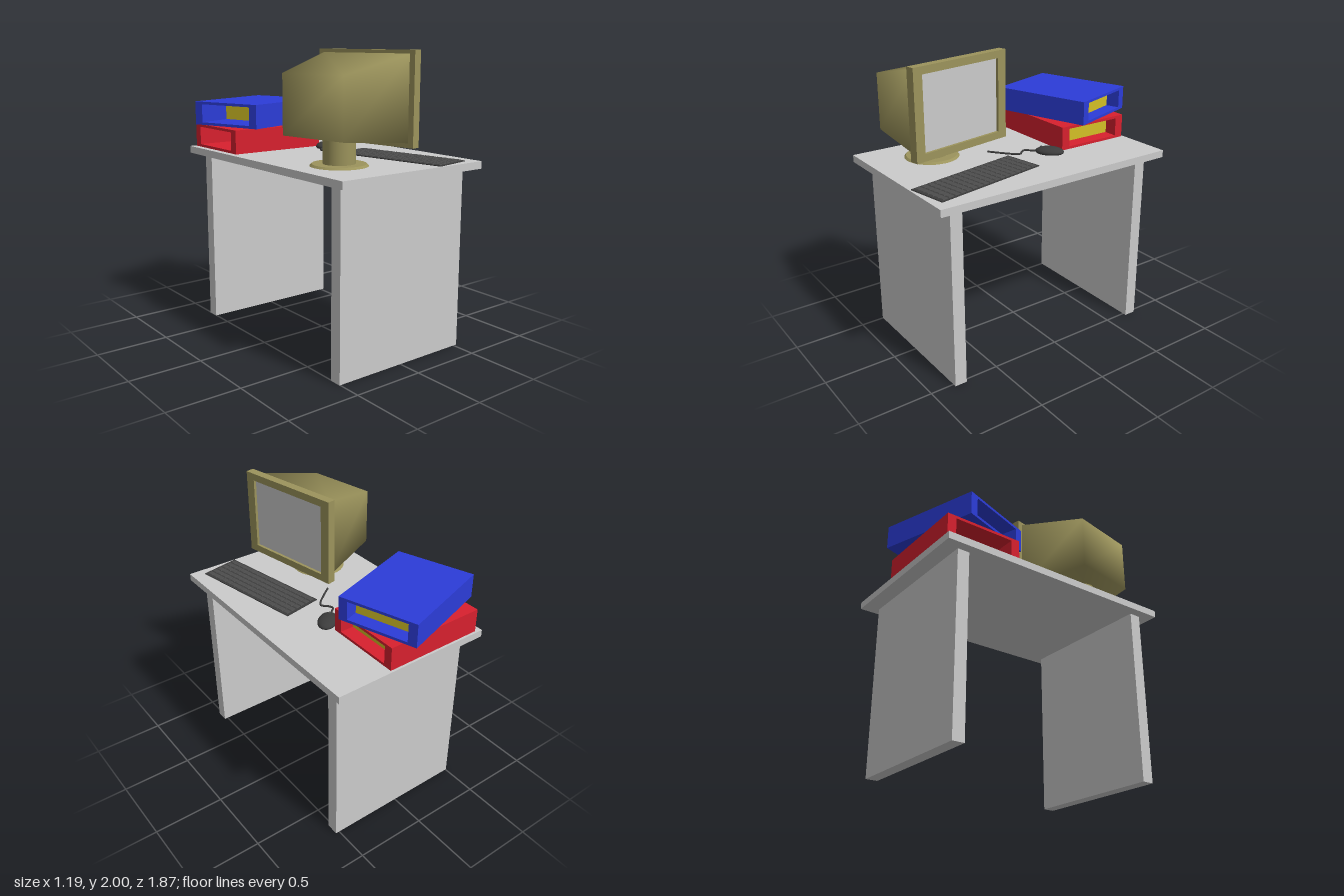
import * as THREE from 'three';
import { mergeGeometries, mergeVertices } from 'three/addons/utils/BufferGeometryUtils.js';

const mat = (color) => new THREE.MeshStandardMaterial({ color });
const grey = mat(0xcccccc);
const olive = mat(0x9c945c);
const dark = mat(0x3c3c3c);
const keyGrey = mat(0x4c4c4c);
const yellow = mat(0xd4c026);
const DESK = 1.285;

function add(parent, name, geometry, material, x = 0, y = 0, z = 0) {
  const mesh = new THREE.Mesh(geometry, material);
  mesh.name = name;
  mesh.position.set(x, y, z);
  parent.add(mesh);
  return mesh;
}

function subgroup(parent, name, x, y, z, turn = 0) {
  const g = new THREE.Group();
  g.name = name;
  g.position.set(x, y, z);
  g.rotation.y = turn;
  parent.add(g);
  return g;
}

// Rectangular frame in the y-z plane, centred, with a through opening along x
function frameGeometry(width, height, holeWidth, holeHeight, depth) {
  const rect = (path, w, h) => path.moveTo(-w / 2, -h / 2).lineTo(w / 2, -h / 2)
    .lineTo(w / 2, h / 2).lineTo(-w / 2, h / 2).closePath();
  const shape = rect(new THREE.Shape(), width, height);
  shape.holes.push(rect(new THREE.Path(), holeWidth, holeHeight));
  return new THREE.ExtrudeGeometry(shape, { depth, bevelEnabled: false })
    .translate(0, 0, -depth / 2).rotateY(Math.PI / 2);
}

function buildDesk(root) {
  const desk = subgroup(root, 'desk', 0.011, 0, 0);
  add(desk, 'deskTop', new THREE.BoxGeometry(1.165, 0.05, 1.79), grey, 0, DESK - 0.025, 0.04);
  for (const [name, z] of [['leftPanel', 0.7925], ['rightPanel', -0.7025]]) {
    add(desk, name, new THREE.BoxGeometry(1.03, 1.235, 0.085), grey, 0, 0.6175, z);
  }
}

// Sleeve open at both ends with a block of paper inside
function buildBinder(root, name, color, x, y, z, turn) {
  const binder = subgroup(root, name, x, y, z, turn);
  add(binder, 'sleeve', frameGeometry(0.556, 0.165, 0.43, 0.128, 0.715), mat(color));
  add(binder, 'papers', new THREE.BoxGeometry(0.36, 0.126, 0.428), yellow, 0.08, 0, 0);
}

function buildMonitor(root) {
  const monitor = subgroup(root, 'monitor', 0.06, 1.7, 0.4375, 0.181);
  add(monitor, 'bezel', frameGeometry(0.778, 0.6, 0.64, 0.5, 0.06), olive, -0.03);
  add(monitor, 'screen', new THREE.BoxGeometry(0.02, 0.5, 0.64), grey, -0.03);

  // Tapered housing with softly blended normals
  let housing = new THREE.BoxGeometry(0.5, 1, 1);
  housing.deleteAttribute('normal');
  housing.deleteAttribute('uv');
  housing = mergeVertices(housing);
  const p = housing.attributes.position;
  for (let i = 0; i < p.count; i++) {
    const rear = p.getX(i) < 0;
    const top = p.getY(i) > 0;
    const y = rear ? (top ? 0.16 : -0.225) : (top ? 0.28 : -0.27);
    p.setXYZ(i, rear ? -0.556 : -0.05, y, Math.sign(p.getZ(i)) * (rear ? 0.247 : 0.352));
  }
  housing.computeVertexNormals();
  add(monitor, 'housing', housing, olive);

  const stand = subgroup(root, 'monitorStand', -0.248, DESK, 0.503);
  add(stand, 'standBase', new THREE.CylinderGeometry(0.175, 0.188, 0.014, 32), olive, 0, 0.007);
  add(stand, 'standNeck', new THREE.CylinderGeometry(0.105, 0.105, 0.22, 32), olive, 0, 0.12);
}

function buildKeyboard(root) {
  const keyboard = subgroup(root, 'keyboard', 0.285, DESK, 0.48, 0.189);
  add(keyboard, 'keyboardBase', new THREE.BoxGeometry(0.285, 0.005, 0.85), dark, 0, 0.0025);
  const rows = 6, columns = 17, dx = 0.265 / rows, dz = 0.82 / columns;
  const keys = [];
  for (let r = 0; r < rows; r++) {
    for (let c = 0; c < columns; c++) {
      // Square caps, tapered by a four-sided cylinder
      keys.push(new THREE.CylinderGeometry(0.52, 0.64, 0.007, 4).rotateY(Math.PI / 4)
        .scale(dx, 1, dz)
        .translate((r - (rows - 1) / 2) * dx, 0.0075, (c - (columns - 1) / 2) * dz));
    }
  }
  const caps = mergeGeometries(keys.map((k) => k.toNonIndexed()));
  caps.computeVertexNormals();
  add(keyboard, 'keys', caps, keyGrey);
}

function buildMouse(root) {
  const mouse = subgroup(root, 'mouse', 0.175, DESK, -0.183, 0.7);
  const body = new THREE.SphereGeometry(1, 28, 14);
  const p = body.attributes.position;
  // Flat underside, domed back
  for (let i = 0; i < p.count; i++) {
    const y = p.getY(i);
    p.setXYZ(i, p.getX(i) * 0.1, y > 0 ? 0.012 + y * 0.033 : Math.max(0, 0.012 + y * 0.03), p.getZ(i) * 0.066);
  }
  body.computeVertexNormals();
  add(mouse, 'mouseBody', body, dark);
  add(mouse, 'mouseWheel', new THREE.CylinderGeometry(0.012, 0.012, 0.012, 16).rotateX(Math.PI / 2), keyGrey, -0.06, 0.034);

  const path = new THREE.CatmullRomCurve3([
    [0.13, -0.15], [0.085, -0.105], [0.045, -0.065], [0.06, -0.03], [0.09, 0.005], [0.075, 0.035], [0, 0.1], [-0.08, 0.16],
  ].map(([x, z]) => new THREE.Vector3(x, DESK + 0.007, z)));
  add(root, 'mouseCable', new THREE.TubeGeometry(path, 48, 0.007, 8), dark);
}

export function createModel() {
  const root = new THREE.Group();
  root.name = 'computerDesk';
  buildDesk(root);
  buildBinder(root, 'lowerBinder', 0xd8202e, -0.1675, 1.3675, -0.56, 0);
  buildBinder(root, 'upperBinder', 0x2c3cd8, -0.1675, 1.5425, -0.56, 0.32);
  buildMonitor(root);
  buildKeyboard(root);
  buildMouse(root);
  return root;
}
